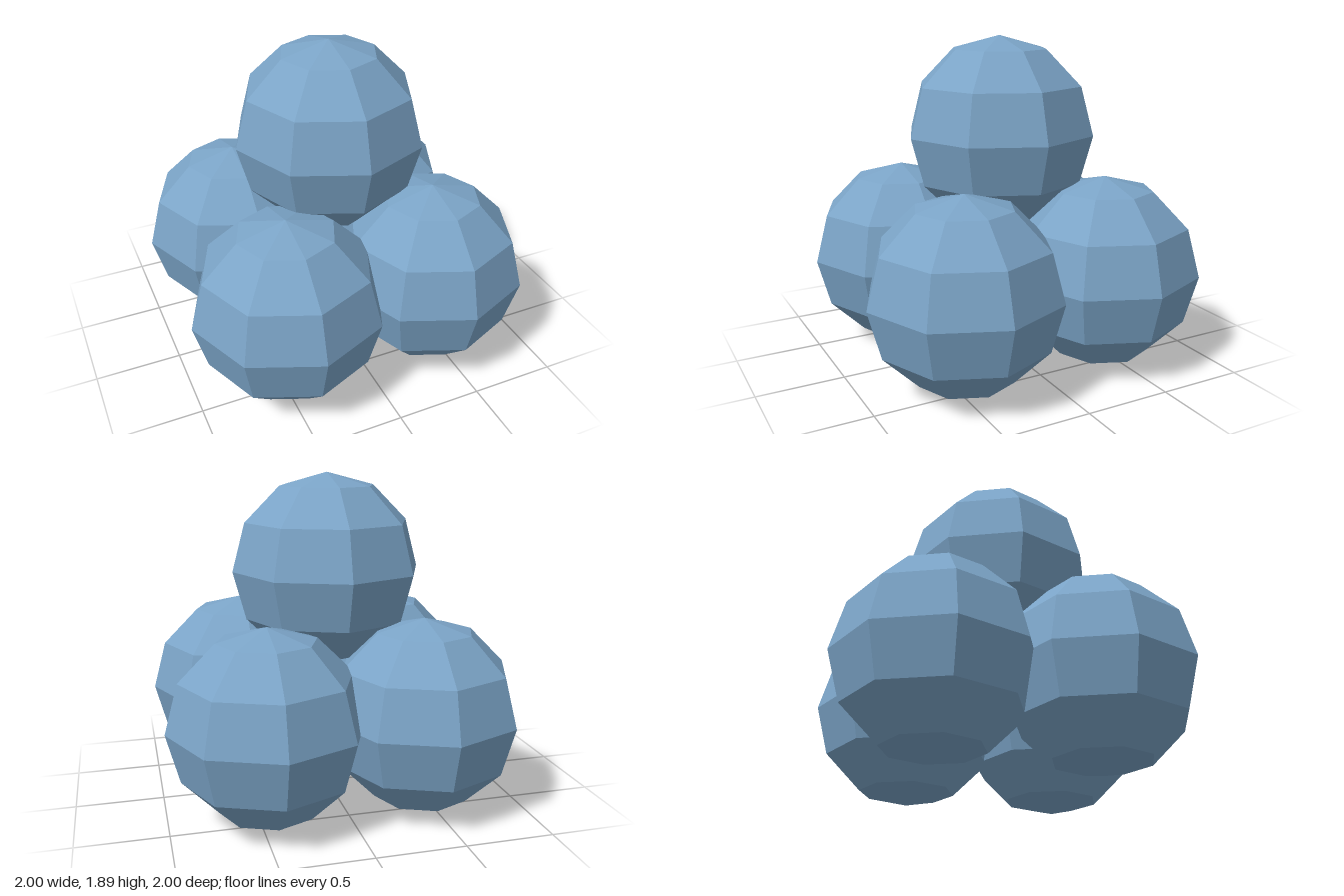
import * as THREE from 'three';

export function createModel() {
  const group = new THREE.Group();
  group.name = 'ballPile';

  const steelBlue = new THREE.MeshStandardMaterial({ color: 0x7ba4c7, flatShading: true });
  steelBlue.name = 'steelBlue';

  const radius = 0.555;
  const spread = 0.445;
  const ball = new THREE.SphereGeometry(radius, 8, 6);

  const addBall = (name, x, y, z) => {
    const mesh = new THREE.Mesh(ball, steelBlue);
    mesh.name = name;
    mesh.position.set(x, y, z);
    group.add(mesh);
  };

  // Four balls in a square on the ground
  for (const [side, x] of [['Left', spread], ['Right', -spread]]) {
    for (const [end, z] of [['front', spread], ['back', -spread]]) {
      addBall(`${end}${side}Ball`, x, radius, z);
    }
  }

  // One ball resting on top
  addBall('topBall', 0, 1.335, 0);

  return group;
}
